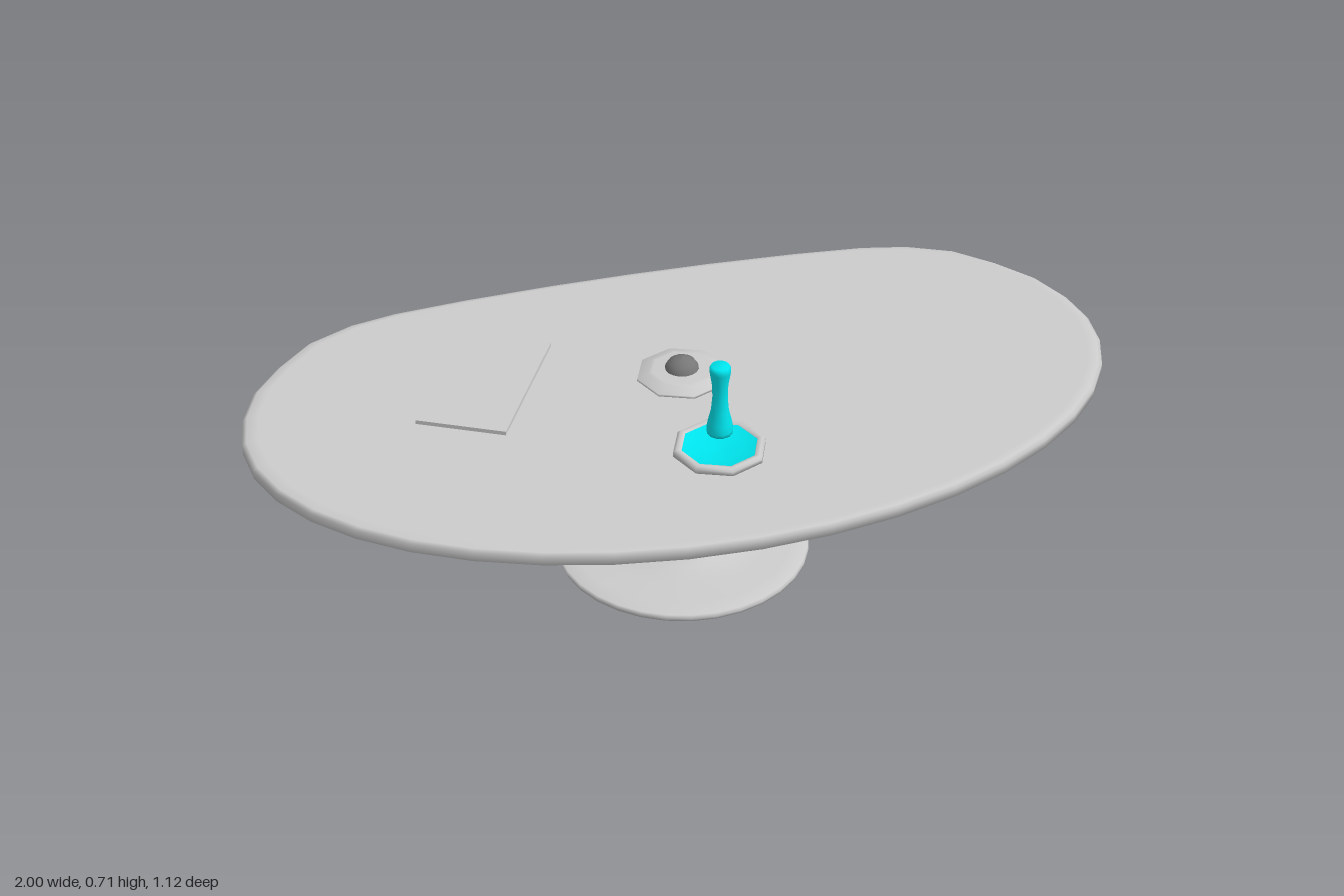
import * as THREE from 'three';

const grey = new THREE.MeshStandardMaterial({ color: 0xcccccc, side: THREE.DoubleSide });
const dark = new THREE.MeshStandardMaterial({ color: 0x777777, side: THREE.DoubleSide });
const cyan = new THREE.MeshStandardMaterial({ color: 0x00e5ee, side: THREE.DoubleSide });
const CENTRE_Z = -0.08;

function add(parent, name, geometry, material, x = 0, y = 0, z = 0) {
  const mesh = new THREE.Mesh(geometry, material);
  mesh.name = name;
  mesh.position.set(x, y, z);
  parent.add(mesh);
  return mesh;
}

// Profile of [radius, y] pairs, listed from bottom to top
function lathe(profile, sides) {
  return new THREE.LatheGeometry(profile.map(([r, y]) => new THREE.Vector2(r, y)), sides);
}

// Right half of the top's outline, [x, z] from back to front, mirrored into a loop
function outline() {
  const half = [
    [0, -0.56], [0.2, -0.557], [0.42, -0.546], [0.59, -0.53], [0.7, -0.505], [0.805, -0.453],
    [0.885, -0.37], [0.95, -0.28], [0.987, -0.18], [1, -0.08],
  ];
  for (let i = 1; i <= 10; i++) {
    const a = (i / 10) * Math.PI / 2;
    half.push([Math.cos(a), CENTRE_Z + 0.635 * Math.sin(a)]);
  }
  half[half.length - 1][0] = 0;
  const mirrored = half.slice(1, -1).reverse().map(([x, z]) => [-x, z]);
  return [...half, ...mirrored];
}

// Table top: the outline scaled through rings of [scale, y], bottom to top
function tableTop() {
  const loop = outline();
  const rings = [
    [0, 0.437], [0.8, 0.437], [0.9, 0.441], [0.97, 0.448], [1, 0.457],
    [1, 0.478], [0.99, 0.485], [0.965, 0.487], [0, 0.488],
  ];
  const positions = [], index = [], n = loop.length;
  for (const [s, y] of rings) {
    for (const [x, z] of loop) positions.push(x * s, y, CENTRE_Z + (z - CENTRE_Z) * s);
  }
  for (let r = 0; r < rings.length - 1; r++) {
    for (let i = 0; i < n; i++) {
      const j = (i + 1) % n, a = r * n + i, b = r * n + j;
      index.push(a, a + n, b, b, a + n, b + n);
    }
  }
  const geometry = new THREE.BufferGeometry();
  geometry.setAttribute('position', new THREE.Float32BufferAttribute(positions, 3));
  geometry.setIndex(index);
  geometry.computeVertexNormals();
  return geometry;
}

export function createModel() {
  const model = new THREE.Group();
  model.name = 'pedestalTable';

  add(model, 'tableTop', tableTop(), grey);

  // Trumpet pedestal with a shallow round foot
  add(model, 'pedestal', lathe([
    [0, 0], [0.1, 0], [0.1, 0.006], [0.27, 0.006], [0.3, 0.012], [0.303, 0.02], [0.3, 0.029],
    [0.26, 0.033], [0.2, 0.036], [0.135, 0.043], [0.08, 0.07], [0.06, 0.11], [0.047, 0.16],
    [0.04, 0.21], [0.05, 0.29], [0.085, 0.36], [0.15, 0.408], [0.21, 0.437],
  ], 32), grey, 0, 0, CENTRE_Z);

  // Covered dish with a dark domed knob
  const covered = new THREE.Group();
  covered.name = 'coveredDish';
  covered.position.set(0, 0.487, CENTRE_Z);
  model.add(covered);
  add(covered, 'lid', lathe([
    [0.095, 0], [0.106, 0.006], [0.105, 0.011], [0.078, 0.021], [0.07, 0.023], [0, 0.025],
  ], 8), grey);
  add(covered, 'knob', lathe([
    [0.04, 0.018], [0.038, 0.029], [0.03, 0.041], [0.016, 0.049], [0, 0.052],
  ], 16), dark);

  // Open dish with a coloured basin and a slim vase above it
  const open = new THREE.Group();
  open.name = 'vaseDish';
  open.position.set(0, 0.487, 0.23);
  model.add(open);
  add(open, 'dishRim', lathe([
    [0.09, 0], [0.105, 0.005], [0.105, 0.015], [0.098, 0.021], [0.088, 0.02], [0.084, 0.014],
  ], 8), grey);
  add(open, 'dishBasin', lathe([[0, 0.004], [0.05, 0.007], [0.086, 0.017]].reverse(), 8), cyan);
  add(open, 'vase', lathe([
    [0, 0.043], [0.018, 0.045], [0.028, 0.051], [0.03, 0.06], [0.027, 0.078], [0.02, 0.107],
    [0.017, 0.14], [0.018, 0.175], [0.023, 0.205], [0.024, 0.214], [0.02, 0.222], [0, 0.223],
  ], 12), cyan);

  // Thin flat sheet lying askew on the top
  const sheet = add(model, 'sheet', new THREE.BoxGeometry(0.208, 0.01, 0.374), grey, -0.44, 0.492, -0.167);
  sheet.rotation.y = -0.49;

  return model;
}
